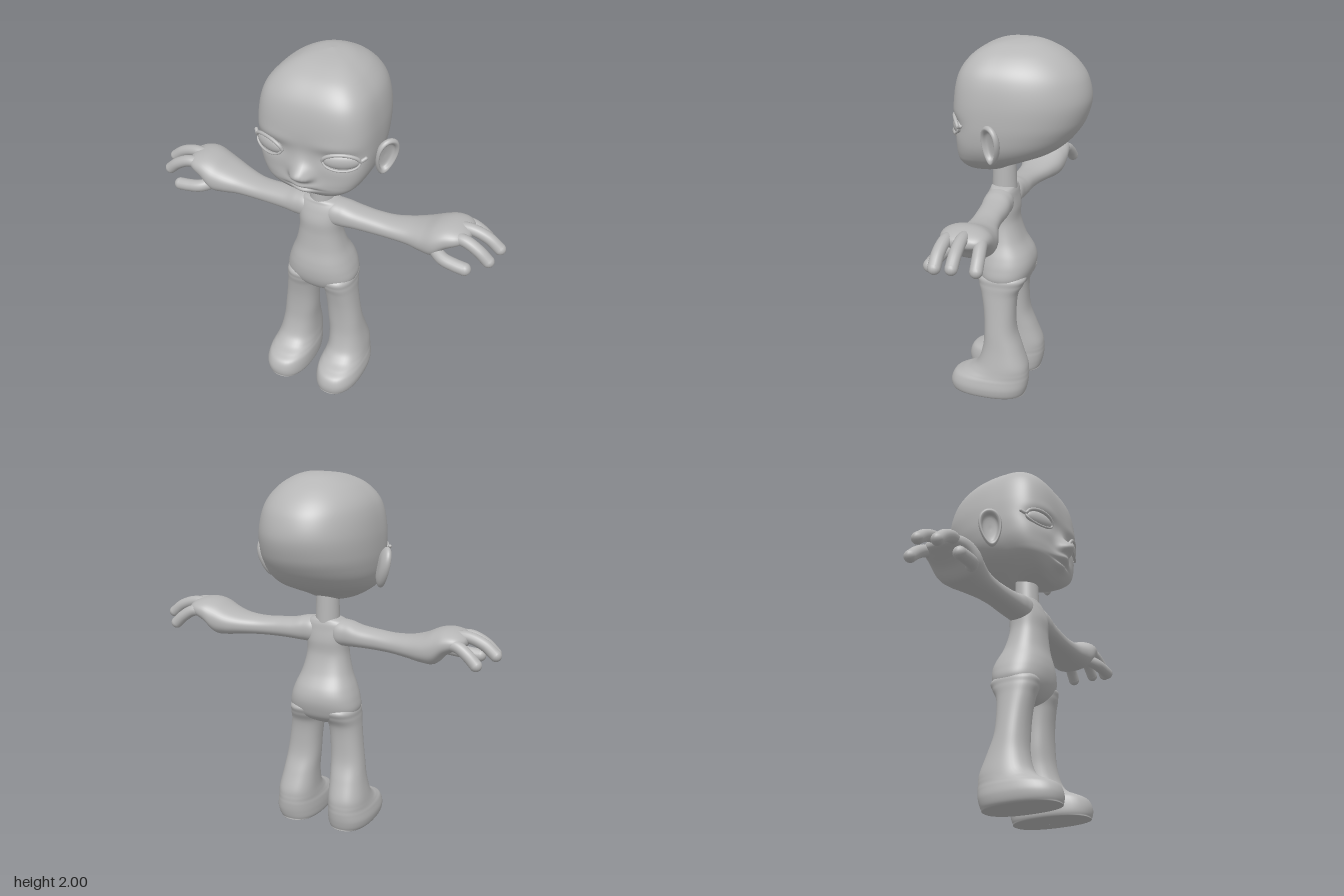
import * as THREE from 'three';
import { mergeVertices, mergeGeometries } from 'three/addons/utils/BufferGeometryUtils.js';

const grey = new THREE.MeshStandardMaterial({ color: 0xb6b6b6 });
grey.name = 'clay grey';

const spline = (a, b, c, d, t) =>
  b + 0.5 * t * (c - a + t * (2 * a - 5 * b + 4 * c - d + t * (3 * (b - c) + d - a)));

// Smooth skin over sections [position on axis, centre, half width, z back, z front]
function loft(sections, { axis = 'y', segs = 48, steps = 8, nFront = 2.3, nBack = 2.3, waist = 0.5 } = {}) {
  const pos = [], index = [], last = sections.length - 1, rows = last * steps;
  for (let r = 0; r <= rows; r++) {
    const k = Math.min(Math.floor(r / steps), last - 1), t = r / steps - k;
    const [p, c, h0, lo, hi] = sections[k].map((_, i) => spline(
      sections[Math.max(k - 1, 0)][i], sections[k][i], sections[k + 1][i], sections[Math.min(k + 2, last)][i], t));
    const h = Math.max(h0, 0.0005), mid = lo + (hi - lo) * waist;
    for (let j = 0; j < segs; j++) {
      const a = (j / segs) * Math.PI * 2, ca = Math.cos(a), sa = Math.sin(a), n = sa > 0 ? nFront : nBack;
      const rad = (Math.abs(ca) ** n + Math.abs(sa) ** n) ** (-1 / n);
      const side = c + h * rad * ca, z = mid + rad * sa * (sa > 0 ? hi - mid : mid - lo);
      if (axis === 'y') pos.push(side, p, z); else pos.push(p, side, z);
      if (r === rows) continue;
      const A = r * segs + j, B = r * segs + (j + 1) % segs, C = A + segs, D = B + segs;
      if (axis === 'y') index.push(A, C, B, B, C, D); else index.push(A, B, C, B, D, C);
    }
  }
  const g = new THREE.BufferGeometry();
  g.setAttribute('position', new THREE.Float32BufferAttribute(pos, 3));
  g.setIndex(index);
  g.computeVertexNormals();
  return g;
}

// Mirrored copy across x with its faces turned back outward
function mirrored(g) {
  const m = g.clone().scale(-1, 1, 1), ix = m.index.array;
  for (let i = 0; i < ix.length; i += 3) [ix[i], ix[i + 1]] = [ix[i + 1], ix[i]];
  return m;
}

// Round tube with ball ends along a smooth path
function softTube(points, radius) {
  const path = new THREE.CatmullRomCurve3(points.map(p => new THREE.Vector3(...p)));
  const ball = p => new THREE.SphereGeometry(radius, 16, 12).translate(...p);
  return mergeGeometries([new THREE.TubeGeometry(path, 24, radius, 16), ball(points[0]), ball(points[points.length - 1])]);
}

function headGeometry() {
  const g = loft([
    [1.297, 0, 0, 0.15, 0.151], [1.302, 0, 0.07, 0.08, 0.205], [1.315, 0, 0.125, 0.05, 0.235],
    [1.34, 0, 0.178, 0, 0.265], [1.38, 0, 0.235, -0.1, 0.288], [1.42, 0, 0.268, -0.195, 0.295],
    [1.47, 0, 0.292, -0.265, 0.297], [1.53, 0, 0.305, -0.318, 0.3], [1.6, 0, 0.311, -0.358, 0.302],
    [1.7, 0, 0.309, -0.382, 0.306], [1.8, 0, 0.293, -0.362, 0.292], [1.87, 0, 0.264, -0.318, 0.262],
    [1.93, 0, 0.21, -0.25, 0.208], [1.97, 0, 0.145, -0.175, 0.135], [1.99, 0, 0.085, -0.115, 0.06],
    [2, 0, 0, -0.04, -0.039],
  ], { segs: 128, steps: 11, nFront: 3.3, nBack: 2.15, waist: 0.62 });
  // Face relief: [x, y, spread x, spread y, height]
  const relief = [
    [0, 1.477, 0.036, 0.03, 0.074], [0, 1.53, 0.03, 0.03, 0.012],              // nose
    [0.042, 1.462, 0.016, 0.015, 0.018], [-0.042, 1.462, 0.016, 0.015, 0.018], // nostrils
    [0, 1.4, 0.075, 0.032, 0.02], [0, 1.411, 0.042, 0.011, 0.016],             // upper lip
    [0, 1.387, 0.055, 0.006, -0.014], [0, 1.364, 0.038, 0.012, 0.016],         // mouth, lower lip
    [0.19, 1.58, 0.07, 0.035, -0.02], [-0.19, 1.58, 0.07, 0.035, -0.02],       // eye sockets
    [0.17, 1.64, 0.08, 0.025, 0.008], [-0.17, 1.64, 0.08, 0.025, 0.008],       // brows
  ];
  const p = g.attributes.position;
  for (let i = 0; i < p.count; i++) {
    const x = p.getX(i), y = p.getY(i), z = p.getZ(i), w = THREE.MathUtils.smoothstep(z, 0.12, 0.25);
    let push = 0;
    for (const [cx, cy, sx, sy, h] of relief)
      push += h * Math.exp(-0.5 * (((x - cx) / sx) ** 2 + ((y - cy) / sy) ** 2));
    p.setZ(i, z + push * w);
  }
  g.computeVertexNormals();
  return g;
}

// Dished ear: a turned shell stretched to an oval, wider at the top
function earGeometry() {
  const profile = new THREE.SplineCurve([[0, -0.028], [0.55, -0.026], [0.9, -0.012], [1, 0.006], [0.9, 0.02],
    [0.75, 0.014], [0.6, -0.006], [0, -0.012]].map(p => new THREE.Vector2(...p))).getPoints(32);
  profile.forEach(v => { v.x = Math.max(v.x, 0); });
  let g = new THREE.LatheGeometry(profile, 40).rotateX(Math.PI / 2).scale(0.062, 0.11, 1);
  const p = g.attributes.position;
  for (let i = 0; i < p.count; i++) p.setX(i, p.getX(i) * (1 + 2.5 * p.getY(i)));
  g.deleteAttribute('uv');
  g.deleteAttribute('normal');
  g = mergeVertices(g, 1e-5);
  g.rotateY(0.96).rotateZ(-0.2).translate(0.335, 1.517, 0.043);
  g.computeVertexNormals();
  return g;
}

function eyeParts() {
  const rim = (a, rx = 0.093, ry = 0.046) =>
    [rx * Math.cos(a), ry * Math.sin(a), 0.004 + 0.019 * Math.abs(Math.sin(a))];
  const arc = (from, to) => Array.from({ length: 9 }, (_, i) => rim(from + (to - from) * i / 8));
  const place = g => g.rotateY(0.37).translate(0.195, 1.575, 0.262);
  return {
    Eyeball: place(new THREE.SphereGeometry(1, 40, 28).scale(0.09, 0.045, 0.031)),
    UpperLid: place(softTube([...arc(Math.PI, 0.15), [0.118, 0.018, -0.006]], 0.0095)),
    LowerLid: place(softTube(arc(Math.PI, Math.PI * 2), 0.006)),
  };
}

export function createModel() {
  const model = new THREE.Group();
  model.name = 'bald doll figure';
  const add = (name, g) => {
    const m = new THREE.Mesh(g, grey);
    m.name = name;
    model.add(m);
  };
  const pair = (name, g) => { add('left' + name, g); add('right' + name, mirrored(g)); };

  // Head
  add('head', headGeometry());
  pair('Ear', earGeometry());
  for (const [name, g] of Object.entries(eyeParts())) pair(name, g);

  // Neck and torso
  add('neck', new THREE.CylinderGeometry(0.062, 0.068, 0.2, 40, 1, true).translate(0, 1.25, 0.082));
  add('torso', loft([
    [0.585, 0, 0, 0.08, 0.081], [0.61, 0, 0.07, 0.01, 0.15], [0.65, 0, 0.165, -0.05, 0.19],
    [0.7, 0, 0.197, -0.076, 0.212], [0.76, 0, 0.19, -0.088, 0.22], [0.82, 0, 0.171, -0.075, 0.215],
    [0.9, 0, 0.14, -0.03, 0.198], [1, 0, 0.118, 0, 0.189], [1.08, 0, 0.119, 0, 0.188],
    [1.14, 0, 0.126, 0.008, 0.172], [1.18, 0, 0.116, 0.015, 0.155], [1.202, 0, 0.075, 0.03, 0.14],
    [1.212, 0, 0, 0.08, 0.081],
  ], { segs: 64, nFront: 2.3, nBack: 2.5 }));

  // Legs with feet
  pair('Leg', loft([
    [0, 0.155, 0, 0.12, 0.121], [0.003, 0.155, 0.095, -0.06, 0.32], [0.015, 0.157, 0.122, -0.08, 0.344],
    [0.06, 0.16, 0.13, -0.094, 0.349], [0.105, 0.158, 0.125, -0.1, 0.33], [0.13, 0.157, 0.118, -0.1, 0.285],
    [0.155, 0.156, 0.113, -0.099, 0.232], [0.2, 0.154, 0.107, -0.092, 0.188], [0.29, 0.146, 0.098, -0.058, 0.161],
    [0.39, 0.136, 0.094, -0.023, 0.155], [0.5, 0.126, 0.089, -0.016, 0.161], [0.6, 0.115, 0.088, -0.025, 0.178],
    [0.66, 0.104, 0.094, -0.055, 0.195], [0.71, 0.1, 0.085, -0.06, 0.19], [0.76, 0.095, 0, 0.07, 0.071],
  ], { nFront: 2.4, nBack: 2.4 }));

  // Arms running into the palms
  pair('Arm', loft([
    [0.04, 1.125, 0, 0.08, 0.081], [0.06, 1.125, 0.066, 0.015, 0.155], [0.13, 1.124, 0.07, 0.005, 0.16],
    [0.2, 1.118, 0.059, 0, 0.152], [0.3, 1.113, 0.053, 0, 0.145], [0.4, 1.11, 0.051, -0.015, 0.142],
    [0.5, 1.113, 0.059, -0.048, 0.147], [0.58, 1.12, 0.076, -0.074, 0.165], [0.65, 1.137, 0.092, -0.085, 0.18],
    [0.71, 1.172, 0.069, -0.088, 0.17], [0.77, 1.186, 0.047, -0.078, 0.15], [0.81, 1.186, 0.025, -0.04, 0.11],
    [0.822, 1.184, 0, 0.03, 0.031],
  ], { axis: 'x' }));

  // Fingers and thumb
  const fingers = {
    Thumb: [0.034, [0.63, 1.11, 0.11], [0.71, 1.085, 0.165], [0.78, 1.075, 0.176], [0.835, 1.07, 0.178]],
    IndexFinger: [0.032, [0.7, 1.175, 0.1], [0.8, 1.192, 0.112], [0.88, 1.158, 0.118], [0.935, 1.11, 0.117]],
    MiddleFinger: [0.031, [0.7, 1.195, 0.03], [0.81, 1.207, 0.028], [0.9, 1.178, 0.024], [0.962, 1.13, 0.022]],
    LittleFinger: [0.032, [0.7, 1.175, -0.04], [0.78, 1.175, -0.055], [0.84, 1.14, -0.065], [0.888, 1.095, -0.07]],
  };
  for (const [name, [radius, ...path]] of Object.entries(fingers)) pair(name, softTube(path, radius));

  return model;
}
